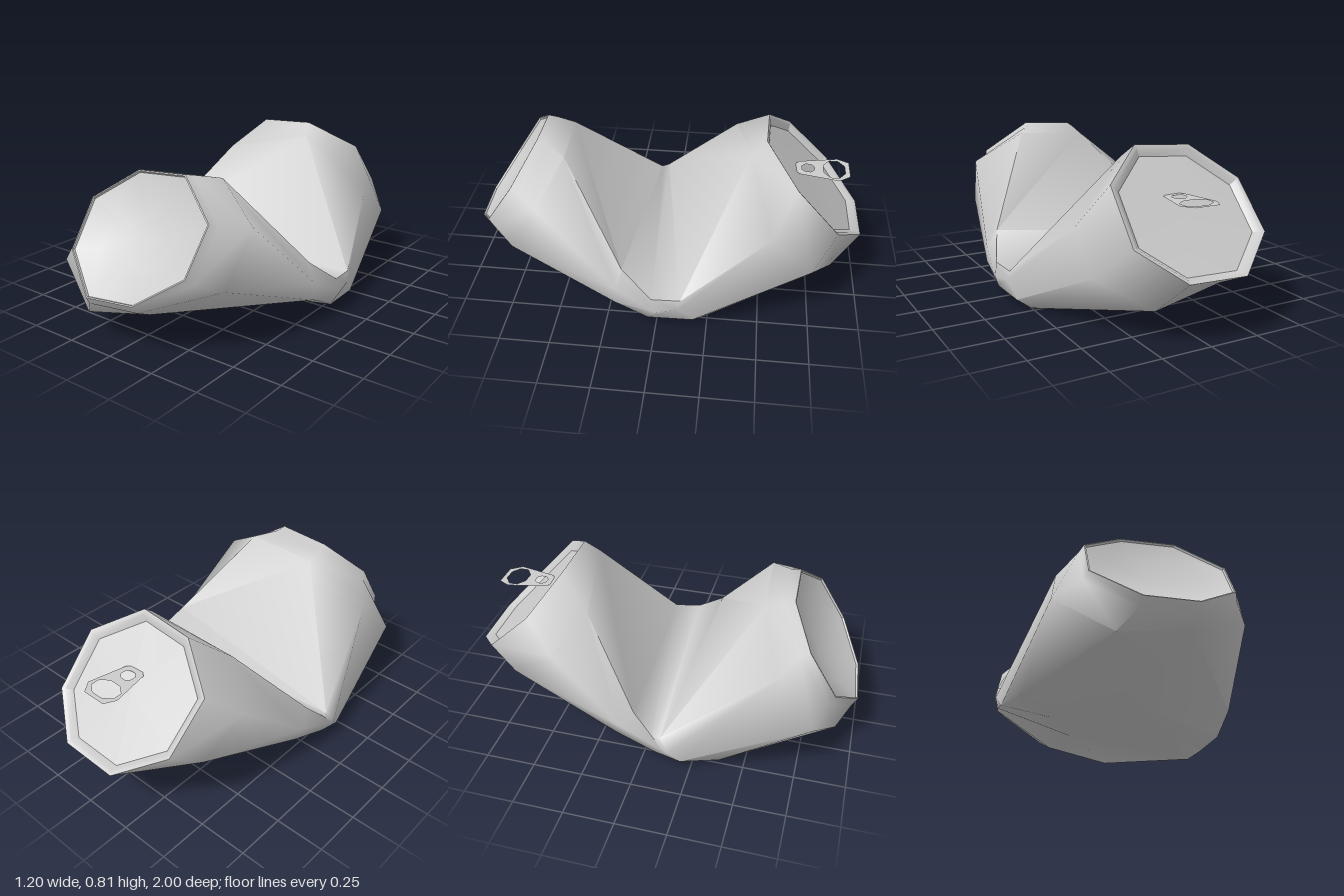
import * as THREE from 'three';
import { toCreasedNormals } from 'three/addons/utils/BufferGeometryUtils.js';

const ring = (...p) => p.map(a => new THREE.Vector3(...a));

// Scale a ring about its middle and slide it along a direction
function inset(r, scale, slide, dir) {
  const c = new THREE.Vector3();
  r.forEach(p => c.addScaledVector(p, 1 / r.length));
  return r.map(p => p.clone().sub(c).multiplyScalar(scale).add(c).addScaledVector(dir, slide));
}

// Skin a list of rings (ordered front to back); the upper quads split along the folds
function loft(name, rings, crease) {
  const pos = [], idx = [], n = rings[0].length;
  rings.forEach(r => r.forEach(p => pos.push(p.x, p.y, p.z)));
  for (let i = 0; i < rings.length - 1; i++) {
    for (let j = 0; j < n; j++) {
      const a = i * n + j, b = i * n + (j + 1) % n, c = b + n, d = a + n;
      if ((j + 2) % n < 3) idx.push(a, b, c, a, c, d);
      else idx.push(a, b, d, b, c, d);
    }
  }
  const g = new THREE.BufferGeometry();
  g.setAttribute('position', new THREE.Float32BufferAttribute(pos, 3));
  g.setIndex(idx);
  return makeMesh(name, toCreasedNormals(g, crease));
}

function makeMesh(name, geometry) {
  const m = new THREE.Mesh(geometry, new THREE.MeshStandardMaterial({ color: 0xcccccc, side: THREE.DoubleSide }));
  m.name = name;
  return m;
}

export function createModel() {
  const group = new THREE.Group();
  group.name = 'crushedCan';
  const frontDir = new THREE.Vector3(0, 0.573, 0.819);
  const backDir = new THREE.Vector3(0, 0.707, -0.707);

  // Rings run clockwise seen from the front, starting at the top right
  const baseRim = ring([.15, .78, .63], [.36, .62, .73], [.34, .41, .87], [.13, .27, .98],
    [-.13, .25, 1], [-.33, .40, .89], [-.32, .62, .75], [-.12, .76, .64]);
  const frontShoulder = ring([.24, .745, .48], [.48, .59, .58], [.44, .33, .73], [.13, .19, .87],
    [-.22, .12, .91], [-.47, .29, .81], [-.42, .52, .62], [-.13, .72, .5]);
  const frontFold = ring([.52, .30, .17], [.57, .21, .19], [.57, .13, .2], [.02, .08, .3],
    [-.51, .03, .38], [-.58, .04, .2], [-.6, .1, .14], [-.575, .17, .1]);
  const valley = ring([.585, .18, .02], [.6, .11, 0], [.57, .045, .04], [.3, .045, 0],
    [-.3, .055, .06], [-.58, .075, .07], [-.6, .11, .12], [-.585, .18, .06]);
  const backFold = ring([.57, .17, -.12], [.58, .12, -.11], [.56, .04, -.18], [.5, 0, -.22],
    [-.15, .07, -.22], [-.56, .14, -.13], [-.58, .2, -.1], [-.55, .28, -.04]);
  const backShoulder = ring([.12, .75, -.42], [.43, .47, -.54], [.44, .30, -.745], [.2, .15, -.86],
    [-.16, .21, -.83], [-.46, .33, -.69], [-.51, .5, -.47], [-.32, .65, -.335]);
  const lidRim = ring([.09, .81, -.49], [.305, .675, -.65], [.31, .44, -.86], [.12, .30, -1],
    [-.18, .29, -1], [-.40, .42, -.84], [-.41, .63, -.62], [-.2, .79, -.5]);

  // Folded body wall
  group.add(loft('body', [baseRim, inset(baseRim, 1.055, -.045, frontDir), frontShoulder, frontFold,
    valley, backFold, backShoulder, lidRim], 1.3));

  // Domed base, pushed inwards behind a narrow rim
  group.add(loft('base', [[0, -.075], [.35, -.065], [.7, -.045], [.97, -.01], [.98, 0], [1, 0]]
    .map(([s, d]) => inset(baseRim, s, d, frontDir)), 0.7));

  // Lid with a recessed floor
  group.add(loft('lid', [[1, 0], [.95, -.005], [.87, -.03], [0, -.03]]
    .map(([s, d]) => inset(lidRim, s, d, backDir)), 0.5));

  // Pull tab: thin plate with a finger hole and a rivet hole
  const tab = new THREE.Shape([[-.08, .917], [.045, .917], [.087, .86], [.045, .667], [.02, .645],
    [-.045, .645], [-.07, .667], [-.11, .86]].map(p => new THREE.Vector2(...p)));
  for (const [y, rx, ry] of [[.84, .08, .058], [.709, .036, .034]]) {
    const pts = [];
    for (let i = 0; i < 8; i++) {
      const a = (i + .5) * Math.PI / 4;
      pts.push(new THREE.Vector2(-.013 + rx * Math.cos(a), y + ry * Math.sin(a)));
    }
    tab.holes.push(new THREE.Path(pts));
  }
  const pullTab = makeMesh('pullTab', new THREE.ShapeGeometry(tab));
  pullTab.rotation.x = -Math.PI / 2;
  pullTab.position.y = .6;
  group.add(pullTab);

  return group;
}
